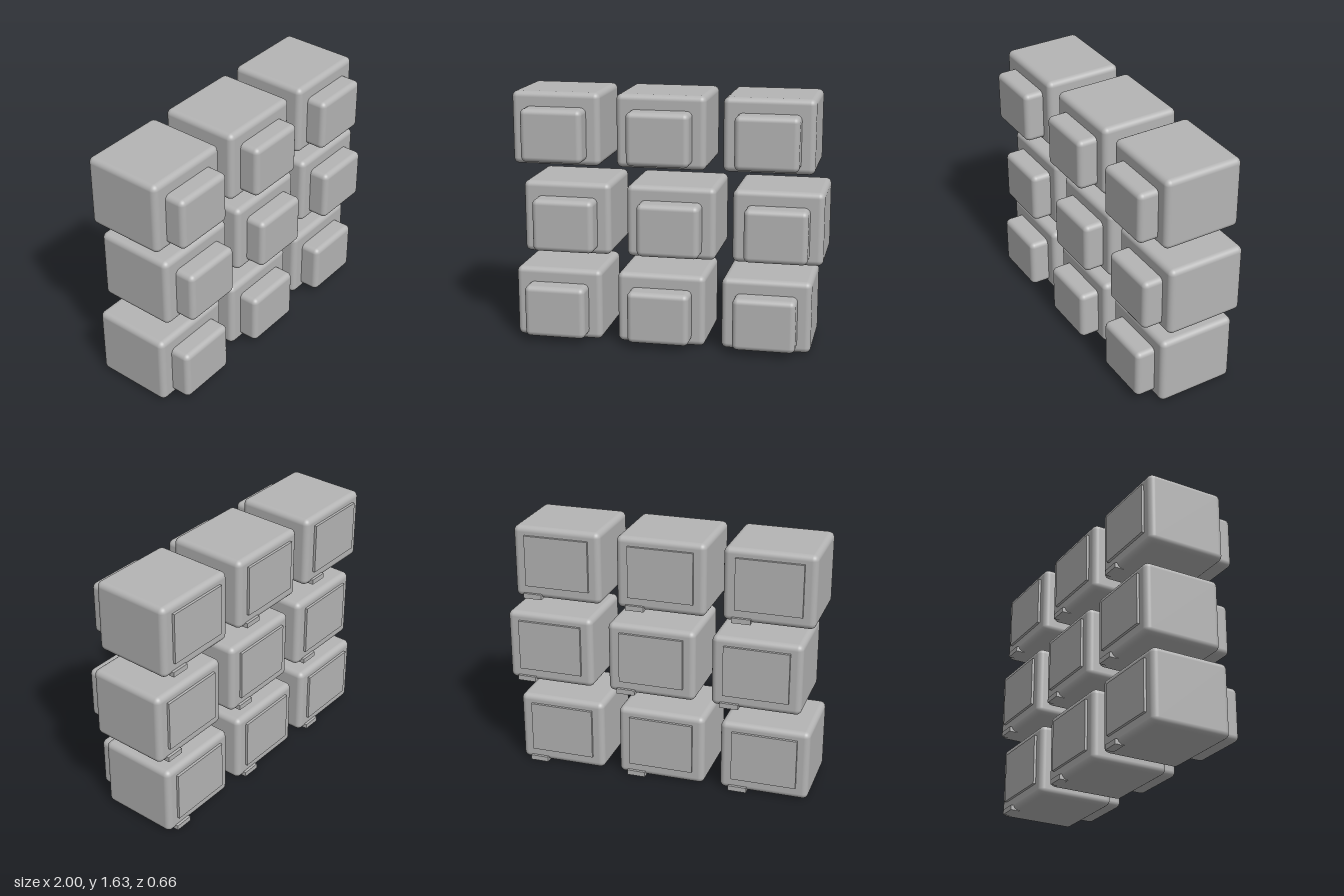
import * as THREE from 'three';
import { RoundedBoxGeometry } from 'three/addons/geometries/RoundedBoxGeometry.js';

// Box geometry from its min and max corners, with optional rounded edges
function boxBetween([x0, y0, z0], [x1, y1, z1], radius = 0) {
  const size = [x1 - x0, y1 - y0, z1 - z0];
  const geometry = radius > 0
    ? new RoundedBoxGeometry(...size, 4, radius)
    : new THREE.BoxGeometry(...size);
  return geometry.translate((x0 + x1) / 2, (y0 + y1) / 2, (z0 + z1) / 2);
}

export function createModel() {
  const model = new THREE.Group();
  model.name = 'blockWall';

  const grey = new THREE.MeshStandardMaterial({ color: 0xb4b4b4 });
  grey.name = 'light grey';

  // Parts of one unit, centred on x, with its base near y = 0
  const parts = {
    housing: boxBetween([-0.287, 0.006, -0.313], [0.287, 0.474, 0.204], 0.037),
    frontBlock: boxBetween([-0.199, 0.04, 0.1], [0.201, 0.38, 0.33], 0.035),
    backPanel: boxBetween([-0.212, 0.087, -0.33], [0.208, 0.418, -0.3]),
    backTab: boxBetween([0.105, 0.003, -0.33], [0.225, 0.036, -0.27]),
  };

  const columnPitch = 0.68;
  const rowPitch = 0.578;
  const rowShift = 0.0325;

  // Three rows of three, with the middle row shifted sideways
  for (let row = 0; row < 3; row++) {
    for (let column = 0; column < 3; column++) {
      const unit = new THREE.Group();
      unit.name = `unitRow${row + 1}Column${column + 1}`;
      for (const [name, geometry] of Object.entries(parts)) {
        const mesh = new THREE.Mesh(geometry, grey);
        mesh.name = name;
        unit.add(mesh);
      }
      const shift = row === 1 ? rowShift : -rowShift;
      unit.position.set((column - 1) * columnPitch + shift, row * rowPitch, 0);
      model.add(unit);
    }
  }
  return model;
}
